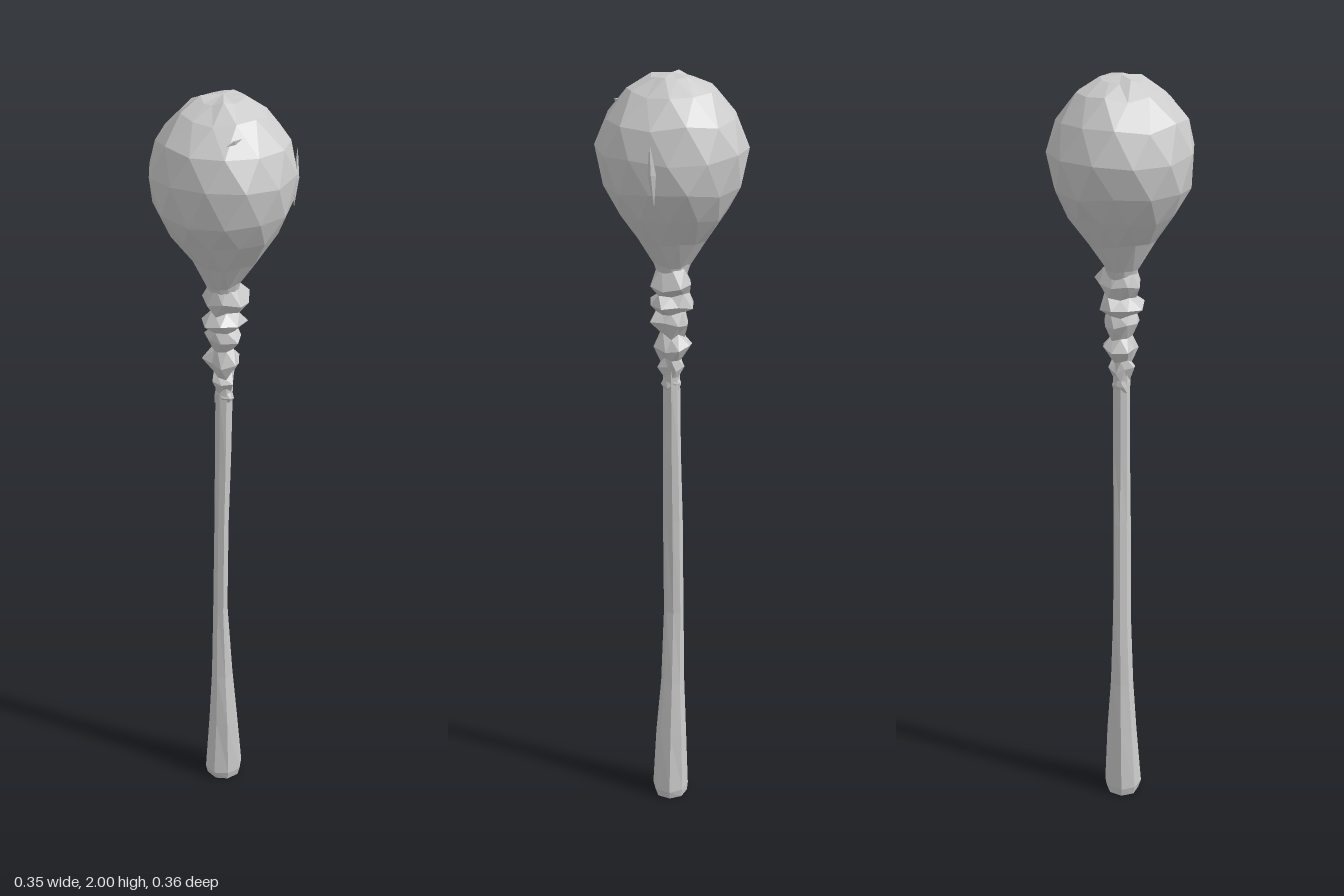
import * as THREE from 'three';

const material = new THREE.MeshStandardMaterial({ color: 0xcccccc, flatShading: true, side: THREE.DoubleSide });

// Small seeded generator, returns -1..1
function seeded(seed) {
  let s = seed;
  return () => {
    s = (s * 16807) % 2147483647;
    return (s / 2147483647) * 2 - 1;
  };
}

// Faceted skin through rings [y, radiusX, radiusZ, centreX, centreZ].
// stagger turns every second ring by half a step; jitter is relative, rise is absolute.
function loft(name, rings, sides, { stagger = false, jitter = 0, rise = 0, seed = 7 } = {}) {
  const rnd = seeded(seed);
  const pts = rings.map(([y, rx, rz = rx, cx = 0, cz = 0], i) =>
    Array.from({ length: sides }, (_, j) => {
      const a = ((j + (stagger && i % 2 ? 0.5 : 0)) / sides) * Math.PI * 2;
      const k = 1 + jitter * rnd();
      const lift = rx > 0 ? rise * rnd() : 0;
      return new THREE.Vector3(cx + Math.sin(a) * rx * k, y + lift, cz + Math.cos(a) * rz * k);
    }));
  const out = [];
  const tri = (a, b, c) => {
    if (new THREE.Triangle(a, b, c).getArea() > 1e-9) out.push(a, b, c);
  };
  for (let i = 0; i < rings.length - 1; i++) {
    for (let j = 0; j < sides; j++) {
      const n = (j + 1) % sides;
      const a = pts[i][j], b = pts[i][n], c = pts[i + 1][j], d = pts[i + 1][n];
      if (stagger && i % 2) { tri(a, d, c); tri(a, b, d); }
      else { tri(a, b, c); tri(b, d, c); }
    }
  }
  const geometry = new THREE.BufferGeometry().setFromPoints(out);
  geometry.computeVertexNormals();
  const mesh = new THREE.Mesh(geometry, material);
  mesh.name = name;
  return mesh;
}

export function createModel() {
  const group = new THREE.Group();
  group.name = 'mallet';

  // Carved handle, flared at the foot and slightly bowed
  group.add(loft('handle', [
    [0, 0, 0, 0, 0.004],
    [0, 0.045, 0.045, 0, 0.004],
    [0.025, 0.052, 0.05, 0, 0.004],
    [0.2, 0.041, 0.041, 0, 0.002],
    [0.36, 0.03, 0.032, -0.002, -0.001],
    [0.58, 0.02, 0.026, -0.006, -0.004],
    [0.85, 0.019, 0.025, -0.004, -0.002],
    [1.05, 0.021, 0.023, 0, 0],
    [1.25, 0.022, 0.021, 0.002, 0.001],
    [1.52, 0.022, 0.022, 0, 0],
  ], 8, { jitter: 0.04, seed: 31 }));

  // Knotted binding: ridges and grooves that widen towards the head
  group.add(loft('binding', [
    [1.215, 0.018], [1.235, 0.027], [1.255, 0.02], [1.28, 0.032],
    [1.3, 0.024], [1.335, 0.044], [1.365, 0.027], [1.4, 0.053],
    [1.425, 0.034], [1.445, 0.051], [1.47, 0.036], [1.497, 0.062, 0.056, 0.006],
    [1.54, 0.038],
  ], 8, { stagger: true, jitter: 0.22, rise: 0.008, seed: 77 }));

  // Faceted pear-shaped head
  group.add(loft('head', [
    [1.49, 0, 0], [1.5, 0.03, 0.03], [1.545, 0.042, 0.045], [1.61, 0.08, 0.085],
    [1.675, 0.127, 0.132], [1.745, 0.163, 0.168], [1.825, 0.172, 0.18],
    [1.9, 0.152, 0.156], [1.962, 0.1, 0.105], [1.99, 0.05, 0.05], [2, 0, 0],
  ], 12, { stagger: true, jitter: 0.025, rise: 0.007, seed: 19 }));

  // Thin splinters standing slightly off the head: one on its left side, one near the front top
  const splinter = (name, length, width, position, yaw, pitch, roll) => {
    const mesh = new THREE.Mesh(new THREE.OctahedronGeometry(1), material);
    mesh.scale.set(width, length, 0.008);
    mesh.position.set(...position);
    mesh.rotation.set(pitch, yaw, roll, 'YXZ');
    mesh.name = name;
    group.add(mesh);
  };
  splinter('sideSplinter', 0.075, 0.01, [0.163, 1.8, 0.036], 1.35, 0.03, 0.06);
  splinter('frontSplinter', 0.022, 0.005, [-0.012, 1.932, 0.13], 0, -0.75, -1.2);

  return group;
}
